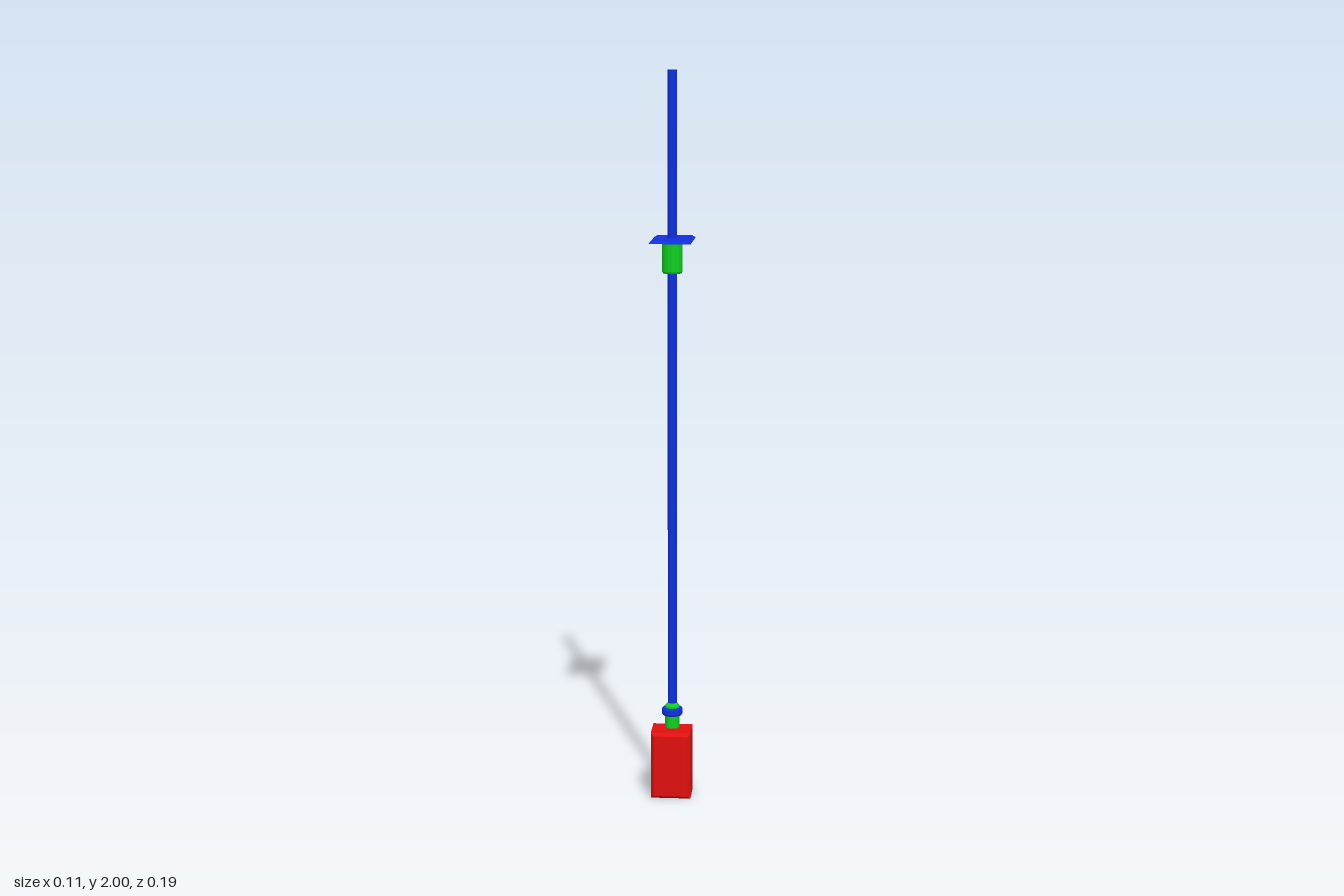
import * as THREE from 'three';

const paint = (color) => new THREE.MeshStandardMaterial({ color, flatShading: true });

export function createModel() {
  const group = new THREE.Group();
  const red = paint(0xe01010), green = paint(0x10d020), blue = paint(0x1030e0);

  const add = (name, geometry, material, x = 0, y = 0, z = 0) => {
    const mesh = new THREE.Mesh(geometry, material);
    mesh.name = name;
    mesh.position.set(x, y, z);
    group.add(mesh);
    return mesh;
  };

  // Turned part with closed ends, from [radius, height] pairs
  const turned = (name, points, sides, material) => {
    const profile = points.map(([r, y]) => new THREE.Vector2(r, y));
    return add(name, new THREE.LatheGeometry(profile, sides), material);
  };

  // Box whose +z end narrows by the inset over the bevel depth
  const bevelledBox = (w, h, d, inset, bevel) => {
    const geometry = new THREE.BoxGeometry(w, h, d, 1, 1, 2);
    const p = geometry.attributes.position;
    for (let i = 0; i < p.count; i++) {
      const z = p.getZ(i);
      if (Math.abs(z) < 1e-6) p.setZ(i, d / 2 - bevel);
      else if (z > 0) {
        p.setX(i, p.getX(i) - Math.sign(p.getX(i)) * inset);
        p.setY(i, p.getY(i) - Math.sign(p.getY(i)) * inset);
      }
    }
    geometry.computeVertexNormals();
    return geometry;
  };

  // Weight at the foot, bevelled around its front face
  add('footBlock', bevelledBox(0.11, 0.188, 0.097, 0.008, 0.01), red, 0, 0.094, 0.021);

  // Neck and collar joining the foot to the pole
  turned('neck', [[0, 0.185], [0.02, 0.185], [0.02, 0.25], [0.014, 0.258], [0, 0.258]], 16, green);
  turned('collar', [[0, 0.224], [0.026, 0.224], [0.029, 0.228], [0.029, 0.241], [0.026, 0.245], [0, 0.245]], 16, blue);

  // Six-sided pole with corners to either side
  const pole = add('pole', new THREE.CylinderGeometry(0.0125, 0.0125, 1.76, 6), blue, 0, 1.12, 0);
  pole.rotation.y = Math.PI / 2;

  // Sleeve holding the plate
  turned('sleeve', [[0, 1.458], [0.025, 1.458], [0.028, 1.463], [0.028, 1.546], [0, 1.546]], 16, green);

  // Thin plate with a bevelled upper rim
  const plate = add('plate', bevelledBox(0.112, 0.186, 0.007, 0.009, 0.006), blue, 0, 1.549, -0.001);
  plate.rotation.x = -Math.PI / 2;

  return group;
}
